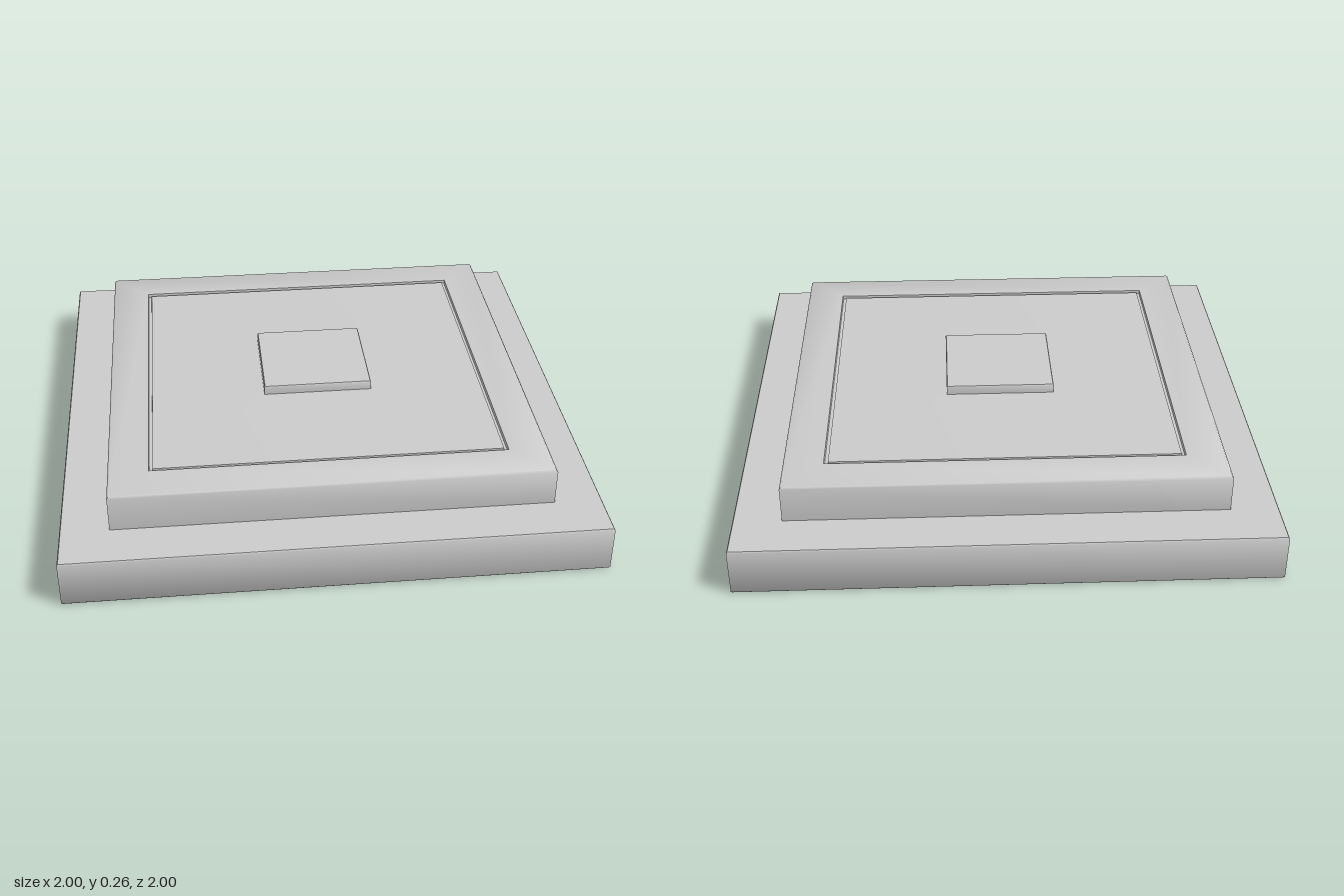
import * as THREE from 'three';
import { toCreasedNormals } from 'three/addons/utils/BufferGeometryUtils.js';

const material = new THREE.MeshStandardMaterial({ color: 0xcccccc });

// Four-sided turned tier with its corners on the x and z axes; profile runs bottom to top as [radius, y]
function tier(name, profile) {
  const points = profile.map(([r, y]) => new THREE.Vector2(r, y));
  const geometry = toCreasedNormals(new THREE.LatheGeometry(points, 4), 0.9);
  const mesh = new THREE.Mesh(geometry, material);
  mesh.name = name;
  return mesh;
}

export function createModel() {
  const group = new THREE.Group();
  group.name = 'steppedPlinth';

  group.add(
    // wide bottom slab with softened edges
    tier('baseSlab', [[0, 0], [0.996, 0], [1, 0.004], [1, 0.124], [0.996, 0.128], [0, 0.128]]),
    // raised border, ending in a fine groove around the panel
    tier('raisedBorder', [[0.82, 0.128], [0.82, 0.225], [0.814, 0.23], [0.67, 0.23], [0.668, 0.22], [0.65, 0.22]]),
    // very shallow pyramid panel inside the border
    tier('innerPanel', [[0.656, 0.22], [0.655, 0.228], [0.21, 0.235], [0, 0.235]]),
    // small square cap in the middle
    tier('centreCap', [[0.212, 0.23], [0.212, 0.257], [0.209, 0.26], [0, 0.26]])
  );
  return group;
}
